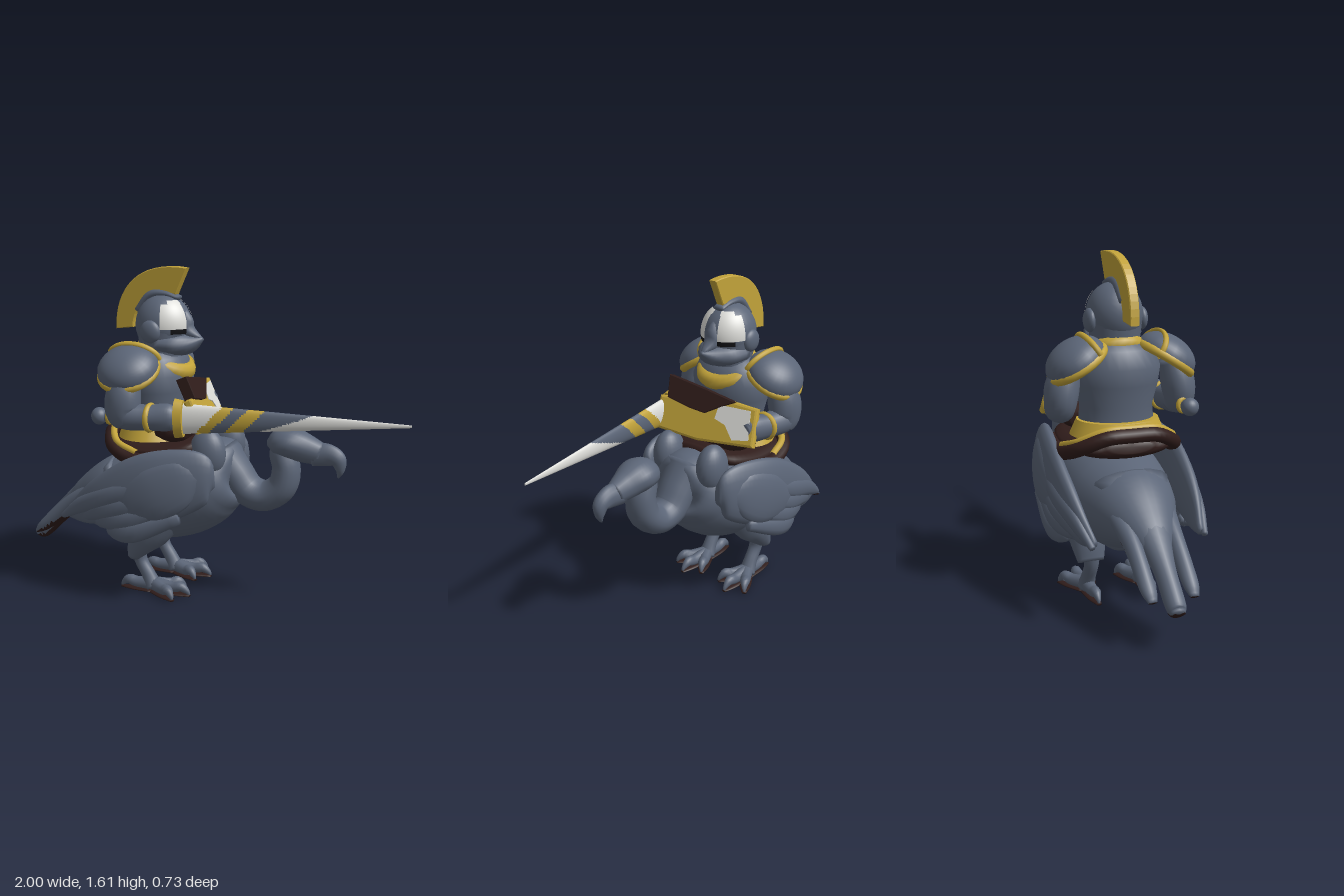
import * as THREE from 'three';

const mat = (name, color) => Object.assign(new THREE.MeshStandardMaterial({ color }), { name });
const slate = mat('slate', 0x5b6577), gold = mat('gold', 0xc2a33a), white = mat('white', 0xdededa);
const brown = mat('darkBrown', 0x301d1b), black = mat('black', 0x131316);
const V = (x, y, z) => new THREE.Vector3(x, y, z);

function add(parent, name, geo, material, x = 0, y = 0, z = 0) {
  const m = new THREE.Mesh(geo, material);
  m.name = name;
  m.position.set(x, y, z);
  parent.add(m);
  return m;
}

// Sweep of elliptical sections; rows are [x, y, z, half height, half width]
function sweep(rows, n = 16, seg = 6) {
  const path = new THREE.CatmullRomCurve3(rows.map(r => V(r[0], r[1], r[2])), false, 'catmullrom');
  const size = new THREE.CatmullRomCurve3(rows.map(r => V(r[3], r[4], 0)), false, 'catmullrom');
  const pos = [], idx = [], rings = (rows.length - 1) * seg;
  for (let i = 0; i <= rings; i++) {
    const t = i / rings, p = path.getPoint(t), T = path.getTangent(t), r = size.getPoint(t);
    const S = V(0, 0, 1).addScaledVector(T, -T.z).normalize(), U = S.clone().cross(T);
    for (let j = 0; j < n; j++) {
      const a = (j / n) * Math.PI * 2;
      const q = p.clone().addScaledVector(U, Math.max(r.x, 0.003) * Math.cos(a)).addScaledVector(S, Math.max(r.y, 0.003) * Math.sin(a));
      pos.push(q.x, q.y, q.z);
      const k = (j + 1) % n, b = i * n;
      if (i < rings) idx.push(b + j, b + k, b + n + j, b + k, b + n + k, b + n + j);
    }
  }
  const c0 = pos.length / 3, first = rows[0], last = rows[rows.length - 1];
  pos.push(first[0], first[1], first[2], last[0], last[1], last[2]);
  for (let j = 0; j < n; j++) {
    const k = (j + 1) % n;
    idx.push(c0, k, j, c0 + 1, rings * n + j, rings * n + k);
  }
  const g = new THREE.BufferGeometry();
  g.setAttribute('position', new THREE.Float32BufferAttribute(pos, 3));
  g.setIndex(idx);
  g.computeVertexNormals();
  return g;
}

// Sorts triangles into material groups by centre and normal
function paint(geo, rule) {
  const g = geo.toNonIndexed(), p = g.attributes.position, nr = g.attributes.normal;
  g.clearGroups();
  let start = 0, current = -1;
  for (let i = 0; i <= p.count; i += 3) {
    let m = -2;
    if (i < p.count) {
      const c = V(0, 0, 0), d = V(0, 0, 0);
      for (let k = i; k < i + 3; k++) {
        c.add(V(p.getX(k), p.getY(k), p.getZ(k)).divideScalar(3));
        d.add(V(nr.getX(k), nr.getY(k), nr.getZ(k)).divideScalar(3));
      }
      m = rule(c, d);
    }
    if (m !== current) {
      if (i > start) g.addGroup(start, i - start, current);
      start = i;
      current = m;
    }
  }
  return g;
}

const ball = (rx, ry, rz) => new THREE.SphereGeometry(1, 24, 16).scale(rx, ry, rz);
const plate = (pts, depth, bevel) => new THREE.ExtrudeGeometry(new THREE.Shape(pts.map(p => new THREE.Vector2(...p))),
  { depth, bevelEnabled: bevel > 0, bevelSize: bevel, bevelThickness: bevel, bevelSegments: 2 });
const tube = (pts, r) => new THREE.TubeGeometry(new THREE.CatmullRomCurve3(pts.map(p => V(...p))), 40, r, 10);

// Runs a builder for the +z side and its mirror
function bothSides(parent, name, build) {
  for (const s of [1, -1]) {
    const g = new THREE.Group();
    g.name = name + (s > 0 ? 'Near' : 'Far');
    g.scale.z = s;
    build(g);
    parent.add(g);
  }
}

function buildBird(bird) {
  add(bird, 'body', sweep([[0.16, 0.66, 0, 0.06, 0.08], [0.12, 0.655, 0, 0.15, 0.17], [0.04, 0.61, 0, 0.2, 0.235], [-0.1, 0.53, 0, 0.235, 0.26],
    [-0.3, 0.485, 0, 0.235, 0.25], [-0.5, 0.47, 0, 0.185, 0.2], [-0.65, 0.43, 0, 0.11, 0.13], [-0.77, 0.36, 0, 0.05, 0.06]], 28), slate);
  add(bird, 'lowerBelly', ball(0.13, 0.09, 0.1), slate, -0.31, 0.315);
  // tail with dark undersides
  const under = (c, d) => (d.y < -0.4 && c.x < -0.68 ? 1 : 0);
  const tail = rows => paint(sweep(rows, 14), under);
  add(bird, 'tailCentre', tail([[-0.45, 0.6, 0, 0.08, 0.18], [-0.65, 0.47, 0, 0.07, 0.1], [-0.82, 0.33, 0, 0.05, 0.052], [-0.95, 0.205, 0, 0.045, 0.045], [-0.985, 0.18, 0, 0.022, 0.03]]), [slate, brown]);
  // curved neck, head and hooked beak
  add(bird, 'neck', sweep([[0.06, 0.72, 0, 0.1, 0.12], [0.14, 0.63, 0, 0.085, 0.1], [0.21, 0.545, 0, 0.08, 0.092], [0.3, 0.525, 0, 0.075, 0.088],
    [0.38, 0.58, 0, 0.072, 0.085], [0.4, 0.67, 0, 0.068, 0.078], [0.38, 0.75, 0, 0.062, 0.07], [0.4, 0.8, 0, 0.05, 0.06]], 18), slate);
  add(bird, 'head', sweep([[0.31, 0.79, 0, 0.02, 0.03], [0.35, 0.795, 0, 0.062, 0.08], [0.42, 0.798, 0, 0.075, 0.097], [0.5, 0.775, 0, 0.068, 0.07], [0.57, 0.755, 0, 0.053, 0.045]], 18), slate);
  add(bird, 'beak', sweep([[0.53, 0.75, 0, 0.055, 0.05], [0.6, 0.755, 0, 0.055, 0.04], [0.65, 0.735, 0, 0.042, 0.035], [0.663, 0.69, 0, 0.023, 0.025], [0.655, 0.65, 0, 0.005, 0.008]], 14), slate);

  bothSides(bird, 'birdSide', side => {
    add(side, 'breastFold', ball(0.09, 0.12, 0.07), slate, 0.05, 0.745, 0.14);
    add(side, 'tailFeather', tail([[-0.52, 0.52, 0.11, 0.05, 0.06], [-0.72, 0.4, 0.1, 0.045, 0.04], [-0.88, 0.27, 0.097, 0.032, 0.036], [-0.935, 0.225, 0.095, 0.012, 0.02]]), [slate, brown]);
    // wing: base shape, covert layer and long flight feathers
    add(side, 'wing', sweep([[0.12, 0.66, 0.23, 0.05, 0.02], [0.06, 0.655, 0.255, 0.13, 0.045], [-0.1, 0.61, 0.285, 0.17, 0.055], [-0.25, 0.56, 0.3, 0.17, 0.05],
      [-0.4, 0.51, 0.295, 0.13, 0.045], [-0.55, 0.44, 0.275, 0.08, 0.03], [-0.66, 0.4, 0.25, 0.02, 0.015]], 18), slate);
    add(side, 'wingCovert', sweep([[0.08, 0.66, 0.27, 0.04, 0.02], [-0.02, 0.63, 0.305, 0.11, 0.03], [-0.15, 0.57, 0.325, 0.13, 0.035], [-0.28, 0.52, 0.325, 0.09, 0.03], [-0.36, 0.49, 0.32, 0.02, 0.01]], 16), slate);
    for (let i = 0; i < 4; i++) {
      const e = i * 0.06;
      add(side, 'flightFeather', sweep([[-0.12 + e * 0.5, 0.64 - e, 0.31, 0.03, 0.02], [-0.34 + e * 0.4, 0.55 - e, 0.325, 0.055, 0.03],
        [-0.53 + e * 0.8, 0.475 - e * 0.6, 0.3, 0.045, 0.025], [-0.675 + e * 1.5, 0.39 - e * 0.1, 0.265, 0.015, 0.015]], 10), slate);
    }
    // feathered thigh, shank and foot
    add(side, 'thigh', sweep([[-0.18, 0.45, 0.14, 0.12, 0.1], [-0.25, 0.34, 0.15, 0.11, 0.09], [-0.3, 0.26, 0.15, 0.075, 0.08], [-0.335, 0.19, 0.15, 0.035, 0.065]]), slate);
    add(side, 'shank', sweep([[-0.32, 0.23, 0.145, 0.04, 0.045], [-0.31, 0.16, 0.14, 0.032, 0.035], [-0.27, 0.09, 0.14, 0.034, 0.035], [-0.24, 0.03, 0.14, 0.04, 0.045]], 12), slate);
    for (const [x, z] of [[-0.1, 0.06], [-0.045, 0.145], [-0.1, 0.235], [-0.42, 0.14]]) {
      const at = (t, y, h, w) => [-0.24 + (x + 0.24) * t, y, 0.14 + (z - 0.14) * t, h, w];
      add(side, 'toe', sweep([at(0, 0.045, 0.035, 0.035), at(0.5, 0.04, 0.028, 0.028), at(0.75, 0.048, 0.026, 0.024), at(0.92, 0.03, 0.016, 0.013), at(1, 0.012, 0.005, 0.005)], 10, 4), slate);
      add(side, 'sole', sweep([at(0, 0.008, 0.008, 0.035), at(0.6, 0.008, 0.008, 0.03), at(1, 0.007, 0.006, 0.012)], 10, 4), brown);
    }
  });
}

function buildRider(rider) {
  // saddle with raised gold-edged cantle and a pommel
  add(rider, 'saddlePad', sweep([[-0.46, 0.76, 0, 0.03, 0.1], [-0.4, 0.745, 0, 0.05, 0.22], [-0.2, 0.745, 0, 0.05, 0.26], [-0.03, 0.77, 0, 0.045, 0.22], [0.02, 0.79, 0, 0.02, 0.1]], 20), brown);
  add(rider, 'pommel', sweep([[-0.2, 0.84, 0, 0.06, 0.2], [-0.13, 0.85, 0, 0.085, 0.24], [-0.07, 0.86, 0, 0.075, 0.22], [-0.04, 0.86, 0, 0.03, 0.15]], 20), brown);
  const rail = dy => [[-0.08, 0.73, 0.25], [-0.28, 0.715, 0.265], [-0.4, 0.755, 0.23], [-0.465, 0.81, 0.12], [-0.47, 0.815, 0],
    [-0.465, 0.81, -0.12], [-0.4, 0.755, -0.23], [-0.28, 0.715, -0.265], [-0.08, 0.73, -0.25]].map(([x, y, z]) => [x + dy * 0.5, y + dy, z]);
  add(rider, 'cantle', tube(rail(0), 0.034), brown);
  add(rider, 'cantleTrim', tube(rail(0.03).slice(1, -1), 0.017), gold);

  // torso, skirt and collar
  const torso = [[0.16, 0.76], [0.17, 0.86], [0.165, 0.92], [0.19, 1.02], [0.2, 1.1], [0.165, 1.18], [0.1, 1.23], [0, 1.24]];
  add(rider, 'torso', new THREE.LatheGeometry(torso.map(p => new THREE.Vector2(...p)), 28).scale(0.82, 1, 1.05), slate, -0.26);
  add(rider, 'skirt', new THREE.CylinderGeometry(0.185, 0.215, 0.07, 28).scale(0.85, 1, 1.05), gold, -0.275, 0.825);
  const collar = add(rider, 'collar', new THREE.TorusGeometry(0.115, 0.042, 10, 28).rotateX(Math.PI / 2), gold, -0.225, 1.16);
  collar.rotation.z = -0.45;

  bothSides(rider, 'arm', side => {
    add(side, 'upperArm', sweep([[-0.31, 1.13, 0.25, 0.06, 0.06], [-0.32, 1.03, 0.28, 0.085, 0.078], [-0.32, 0.95, 0.29, 0.085, 0.072], [-0.29, 0.9, 0.285, 0.06, 0.06]]), slate);
    add(side, 'forearm', sweep([[-0.37, 0.94, 0.29, 0.03, 0.03], [-0.31, 0.93, 0.29, 0.065, 0.064], [-0.2, 0.925, 0.27, 0.062, 0.058], [-0.1, 0.93, 0.25, 0.065, 0.05], [-0.06, 0.93, 0.245, 0.03, 0.03]]), slate);
    add(side, 'cuff', new THREE.TorusGeometry(0.058, 0.014, 8, 20).rotateY(Math.PI / 2), gold, -0.19, 0.925, 0.267);
    // sloping shoulder plate overhanging its gold trim
    const pad = new THREE.Group();
    pad.name = 'shoulderPad';
    pad.position.set(-0.325, 1.14, 0.218);
    pad.rotation.x = 0.56;
    side.add(pad);
    add(pad, 'shoulderDome', new THREE.SphereGeometry(1, 24, 12, 0, Math.PI * 2, 0, Math.PI / 2).scale(0.15, 0.1, 0.145), slate);
    add(pad, 'shoulderUnderside', new THREE.CircleGeometry(1, 24).rotateX(Math.PI / 2).scale(0.15, 1, 0.145), slate);
    add(pad, 'shoulderRim', new THREE.TorusGeometry(0.135, 0.021, 10, 28).rotateX(Math.PI / 2), gold, 0, -0.012);
    add(pad, 'shoulderEdge', new THREE.TorusGeometry(0.128, 0.014, 8, 20, Math.PI).scale(1, 0.68, 1), gold, 0, 0, -0.085);
  });

  // helmet with pointed visor, ear discs and crest
  const hx = -0.235, hy = 1.335;
  add(rider, 'helmet', ball(0.14, 0.145, 0.13), slate, hx, hy);
  add(rider, 'neckGuard', new THREE.CylinderGeometry(0.13, 0.115, 0.13, 24), slate, hx, 1.255);
  add(rider, 'visor', sweep([[-0.23, 1.25, 0, 0.06, 0.138], [-0.15, 1.245, 0, 0.06, 0.12], [-0.09, 1.25, 0, 0.045, 0.072], [-0.03, 1.272, 0, 0.008, 0.01]], 18, 4), slate);
  add(rider, 'faceRidge', sweep([[-0.2, 1.375, 0, 0.08, 0.04], [-0.14, 1.345, 0, 0.065, 0.042], [-0.1, 1.305, 0, 0.035, 0.04], [-0.04, 1.275, 0, 0.008, 0.012]], 14, 4), slate);
  add(rider, 'crestBase', sweep([[-0.37, 1.4, 0, 0.02, 0.03], [-0.3, 1.475, 0, 0.025, 0.035], [-0.22, 1.485, 0, 0.018, 0.035], [-0.15, 1.465, 0, 0.012, 0.03]], 10), slate);
  const crest = new THREE.Shape();
  crest.moveTo(-0.48, 1.31);
  crest.bezierCurveTo(-0.485, 1.5, -0.36, 1.64, -0.11, 1.605);
  crest.lineTo(-0.165, 1.485);
  crest.bezierCurveTo(-0.28, 1.51, -0.39, 1.44, -0.395, 1.32);
  add(rider, 'crest', new THREE.ExtrudeGeometry(crest, { depth: 0.036, bevelSize: 0.004, bevelThickness: 0.004, bevelSegments: 1, curveSegments: 16 }), gold, 0, 0, -0.018);
  bothSides(rider, 'helmetSide', side => {
    const patch = (a, b, t0, t1, k) => new THREE.SphereGeometry(1, 16, 10, Math.PI - b, b - a, t0, t1 - t0).scale(0.14 * k, 0.145 * k, 0.13 * k);
    add(side, 'facePlate', patch(0.3, 1.32, 0.8, 1.66, 1.03), white, hx, hy);
    add(side, 'foreheadPlate', patch(0.25, 1.0, 0.62, 0.82, 1.025), white, hx, hy);
    add(side, 'eyeSlit', patch(0.3, 0.95, 1.66, 1.82, 1.035), black, hx, hy);
    add(side, 'earDisc', ball(0.052, 0.055, 0.028), slate, -0.25, 1.31, 0.125);
  });

  // flat lance with slanted stripes, guard, grip and knob
  const lance = new THREE.Group();
  lance.name = 'lance';
  lance.position.set(0, 0.925, 0.225);
  lance.rotation.set(0, 0.144, 0.014);
  rider.add(lance);
  const cone = new THREE.CylinderGeometry(0.006, 0.073, 1.05, 32, 100).rotateZ(-Math.PI / 2).scale(1, 1, 0.4).translate(0.485, 0, 0);
  const striped = paint(cone, c => {
    const s = c.x - c.y;
    if (c.x - 3 * c.y > 0.47) return 0;
    return s < 0.09 ? 0 : s < 0.15 ? 1 : s < 0.22 ? 2 : s < 0.3 ? 1 : 2;
  });
  add(lance, 'lanceCone', striped, [white, gold, slate]);
  add(lance, 'lanceGuard', new THREE.CylinderGeometry(0.088, 0.095, 0.04, 24).rotateZ(-Math.PI / 2).scale(1, 1, 0.6), gold, -0.055);
  add(lance, 'lanceGrip', new THREE.CylinderGeometry(0.026, 0.026, 0.38, 14).rotateZ(Math.PI / 2), slate, -0.25);
  add(lance, 'lanceRing', new THREE.TorusGeometry(0.03, 0.012, 8, 18).rotateY(Math.PI / 2), gold, -0.4);
  add(lance, 'lanceKnob', ball(0.04, 0.042, 0.042), slate, -0.45);

  // shield across the front, leaning back
  const shield = new THREE.Group();
  shield.name = 'shield';
  shield.position.set(-0.04, 0.93, 0);
  shield.rotation.set(-0.38, Math.PI / 2 + 0.2, 0, 'YXZ');
  rider.add(shield);
  add(shield, 'shieldBase', plate([[-0.23, 0.07], [0, 0.08], [0.13, 0.11], [0.28, 0.095], [0.29, -0.07], [0, -0.09], [-0.23, -0.07]], 0.02, 0.012), gold);
  add(shield, 'shieldTop', plate([[-0.2, 0.185], [0.02, 0.145], [0.17, 0.115], [0.1, 0.085], [0.02, 0.04], [-0.06, 0.05], [-0.19, 0.08]], 0.046, 0.004), brown, 0, 0, -0.008);
  add(shield, 'shieldPanel', plate([[0.09, 0.09], [0.26, 0.09], [0.275, -0.05], [0.19, -0.065], [0.14, 0], [0.08, 0.02]], 0.006, 0), white, 0, 0, 0.03);
  add(shield, 'shieldBack', plate([[-0.23, 0.07], [0, 0.085], [0.13, 0.11], [0.28, 0.095], [0.29, -0.07], [0, -0.09], [-0.23, -0.07]], 0.008, 0.004), brown, 0, 0, -0.02);
}

export function createModel() {
  const model = new THREE.Group();
  model.name = 'birdRider';
  for (const [name, build] of [['bird', buildBird], ['rider', buildRider]]) {
    const g = new THREE.Group();
    g.name = name;
    build(g);
    model.add(g);
  }
  return model;
}
